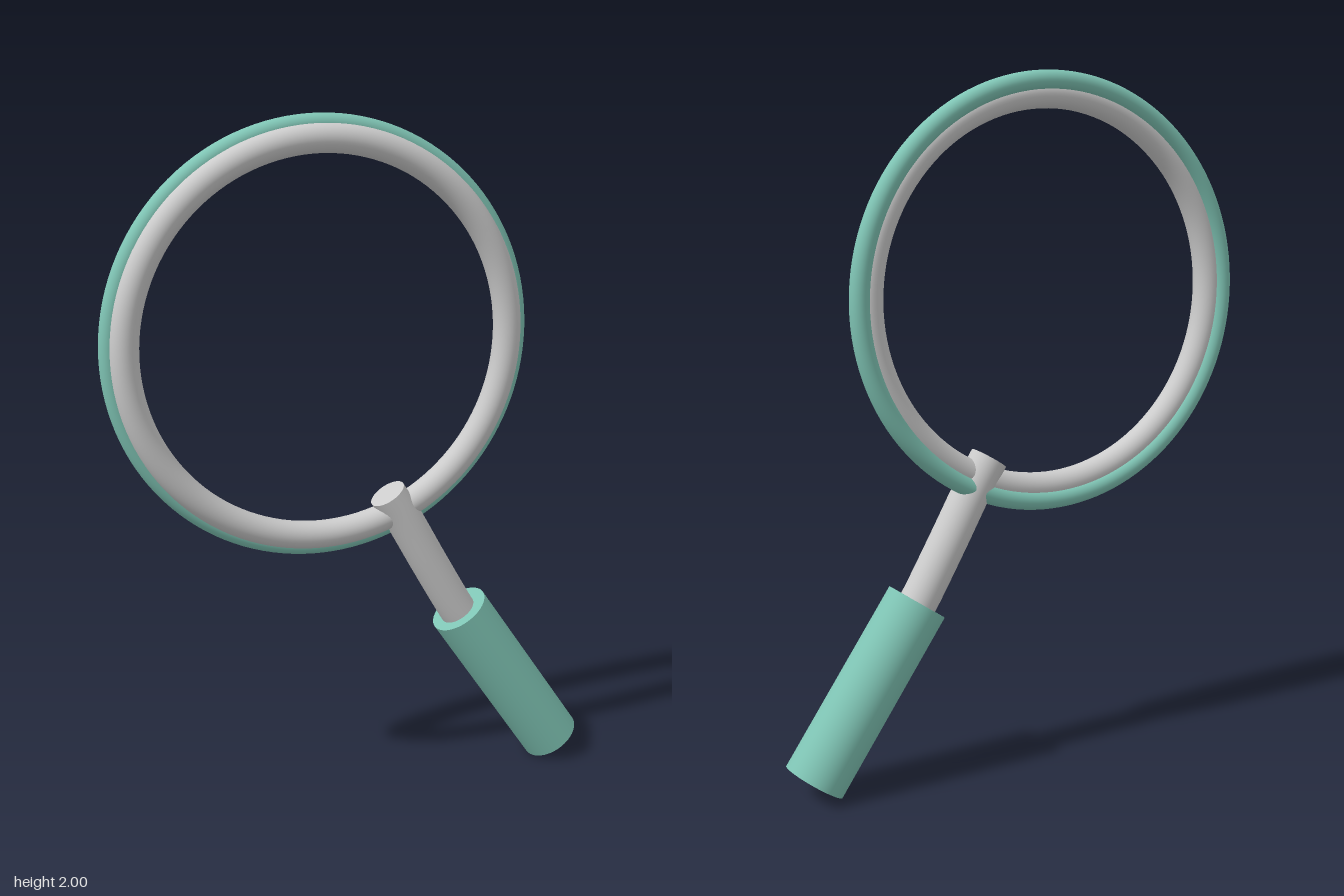
import * as THREE from 'three';

const GREY = new THREE.MeshStandardMaterial({ color: 0xcccccc });
const GREEN = new THREE.MeshStandardMaterial({ color: 0x7fc4b4 });
const point = (x, y) => new THREE.Vector3(x, y, 0);

function part(name, geometry, material, parent) {
  const mesh = new THREE.Mesh(geometry, material);
  mesh.name = name;
  parent.add(mesh);
  return mesh;
}

export function createModel() {
  const model = new THREE.Group();
  model.name = 'magnifyingGlass';

  // Open frame: grey ring with a thinner green ring behind its outer edge
  const frame = new THREE.Group();
  frame.name = 'frame';
  frame.position.set(-0.098, 1.375, 0);
  model.add(frame);
  part('innerRing', new THREE.TorusGeometry(0.56, 0.04, 32, 128), GREY, frame);
  const rim = part('outerRim', new THREE.TorusGeometry(0.597, 0.028, 32, 128), GREEN, frame);
  rim.position.z = -0.024;

  // Handle grip: plain cylinder with flat ends
  const top = point(0.328, 0.524), bottom = point(0.651, 0.053);
  const axis = top.clone().sub(bottom);
  const grip = part('grip', new THREE.CylinderGeometry(0.09, 0.09, axis.length(), 64), GREEN, model);
  grip.position.copy(top).add(bottom).multiplyScalar(0.5);
  grip.quaternion.setFromUnitVectors(new THREE.Vector3(0, 1, 0), axis.normalize());

  // Slightly bent shaft, running from the frame into the grip
  const path = new THREE.CatmullRomCurve3([
    point(0.095, 0.915), point(0.14, 0.845), point(0.23, 0.685), point(0.323, 0.525), point(0.36, 0.47),
  ]);
  part('shaft', new THREE.TubeGeometry(path, 40, 0.055, 48), GREY, model);

  // Flat end of the shaft, inside the frame
  const cap = part('shaftEnd', new THREE.CircleGeometry(0.055, 48), GREY, model);
  cap.position.copy(path.getPointAt(0));
  cap.quaternion.setFromUnitVectors(new THREE.Vector3(0, 0, 1), path.getTangentAt(0).negate());

  return model;
}
